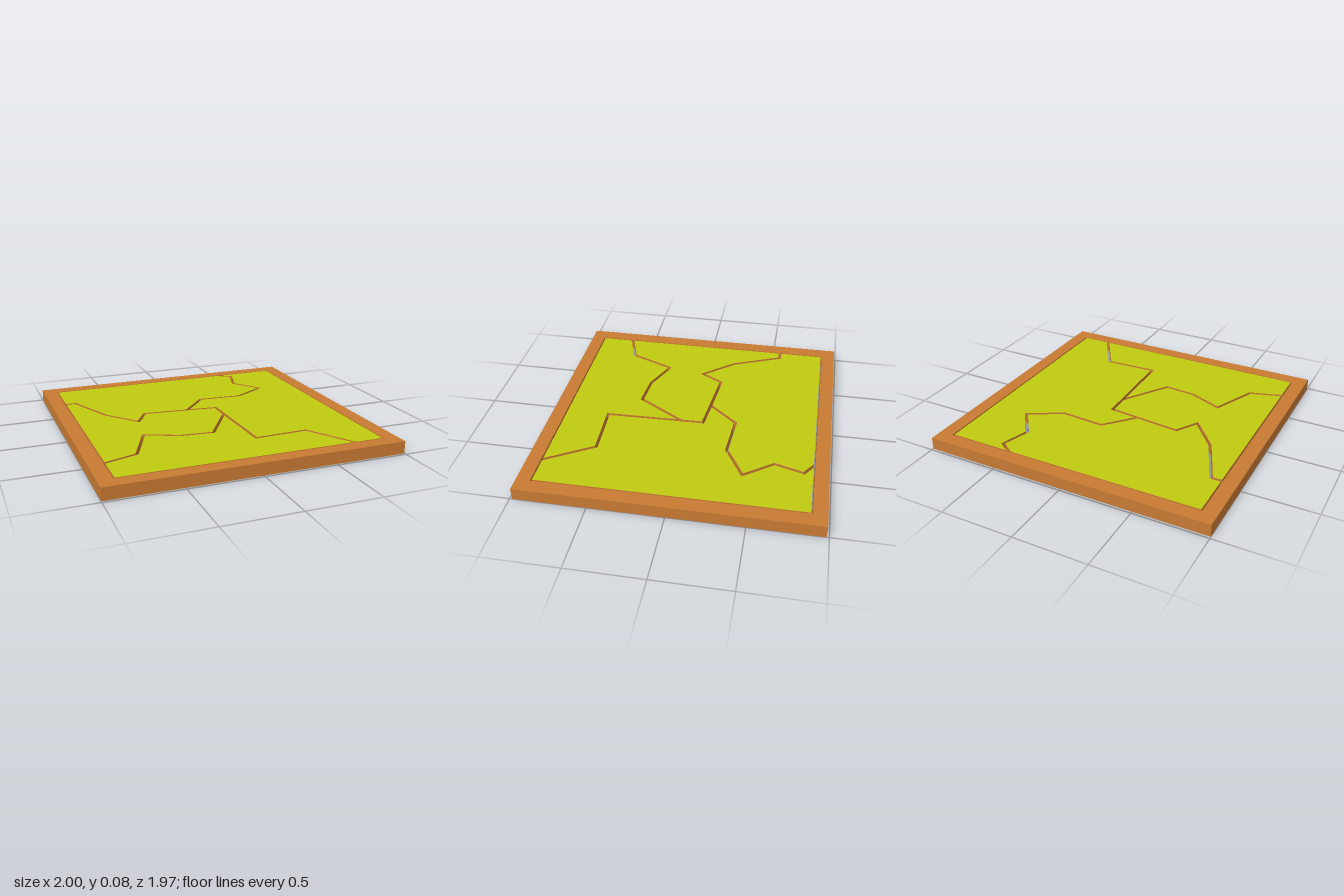
import * as THREE from 'three';

const HEIGHT = 0.084;
const GAP = 0.0105; // half the width of a crack
const wood = new THREE.MeshStandardMaterial({ color: 0xc87a33 });
const face = new THREE.MeshStandardMaterial({ color: 0xbfca10 });

// Points are [x, z] on the ground plane; shapes are drawn with y = -z.
const toVectors = (points) => points.map(([x, z]) => new THREE.Vector2(x, -z));
const rectangle = (x, z) => [[-x, z], [x, z], [x, -z], [-x, -z]];

function slab(shape, materials, name) {
  const geometry = new THREE.ExtrudeGeometry(shape, { depth: HEIGHT, bevelEnabled: false });
  geometry.rotateX(-Math.PI / 2);
  const mesh = new THREE.Mesh(geometry, materials);
  mesh.name = name;
  return mesh;
}

// Moves every edge of a polygon inwards by a distance, with mitred corners.
function inset(points, distance) {
  const pts = toVectors(points);
  if (THREE.ShapeUtils.isClockWise(pts)) pts.reverse();
  const n = pts.length;
  const normal = (a, b) => new THREE.Vector2(a.y - b.y, b.x - a.x).normalize();
  return pts.map((p, i) => {
    const n1 = normal(pts[(i + n - 1) % n], p);
    const n2 = normal(p, pts[(i + 1) % n]);
    return n1.clone().add(n2).multiplyScalar(distance / (1 + n1.dot(n2))).add(p);
  });
}

export function createModel() {
  const group = new THREE.Group();
  group.name = 'puzzleTray';
  const X = 0.904, Z = 0.89; // half size of the frame opening

  // Frame
  const frame = new THREE.Shape(toVectors(rectangle(1, 0.984)));
  frame.holes.push(new THREE.Path(toVectors(rectangle(X, Z))));
  group.add(slab(frame, wood, 'frame'));

  // Crack lines, which meet at two junctions
  const j1 = [-0.098, -0.119], j2 = [0.116, 0.06];
  const leftCrack = [[-X, -0.56], [-0.826, -0.56], [-0.68, -0.218], [-0.498, 0], [-0.408, -0.151], j1];
  const middleCrack = [j1, [0.113, -0.096], j2];
  const rightCrack = [j2, [0.129, 0.583], [0.5, 0.568], [0.694, Z]];
  const backCrack = [[0.44, -Z], [0.538, -0.821], [0.479, -0.626], [0.621, -0.431],
    [0.388, -0.3], [0.081, -0.321], j1];
  const frontCrack = [[-X, 0.65], [-0.675, 0.578], [-0.541, 0.268], [-0.311, 0.367], [-0.092, 0.386], j2];
  const reversed = (line) => [...line].reverse();

  // Outlines of the pieces along the crack lines
  const pieces = {
    backPiece: [...leftCrack, ...reversed(backCrack).slice(1), [-X, -Z]],
    sidePiece: [...backCrack, ...middleCrack.slice(1), ...rightCrack.slice(1), [X, Z], [X, -Z]],
    middlePiece: [...leftCrack, ...middleCrack.slice(1), ...reversed(frontCrack).slice(1)],
    frontPiece: [...frontCrack, ...rightCrack.slice(1), [-X, Z]],
  };
  for (const [name, outline] of Object.entries(pieces)) {
    group.add(slab(new THREE.Shape(inset(outline, GAP)), [face, wood], name));
  }
  return group;
}
